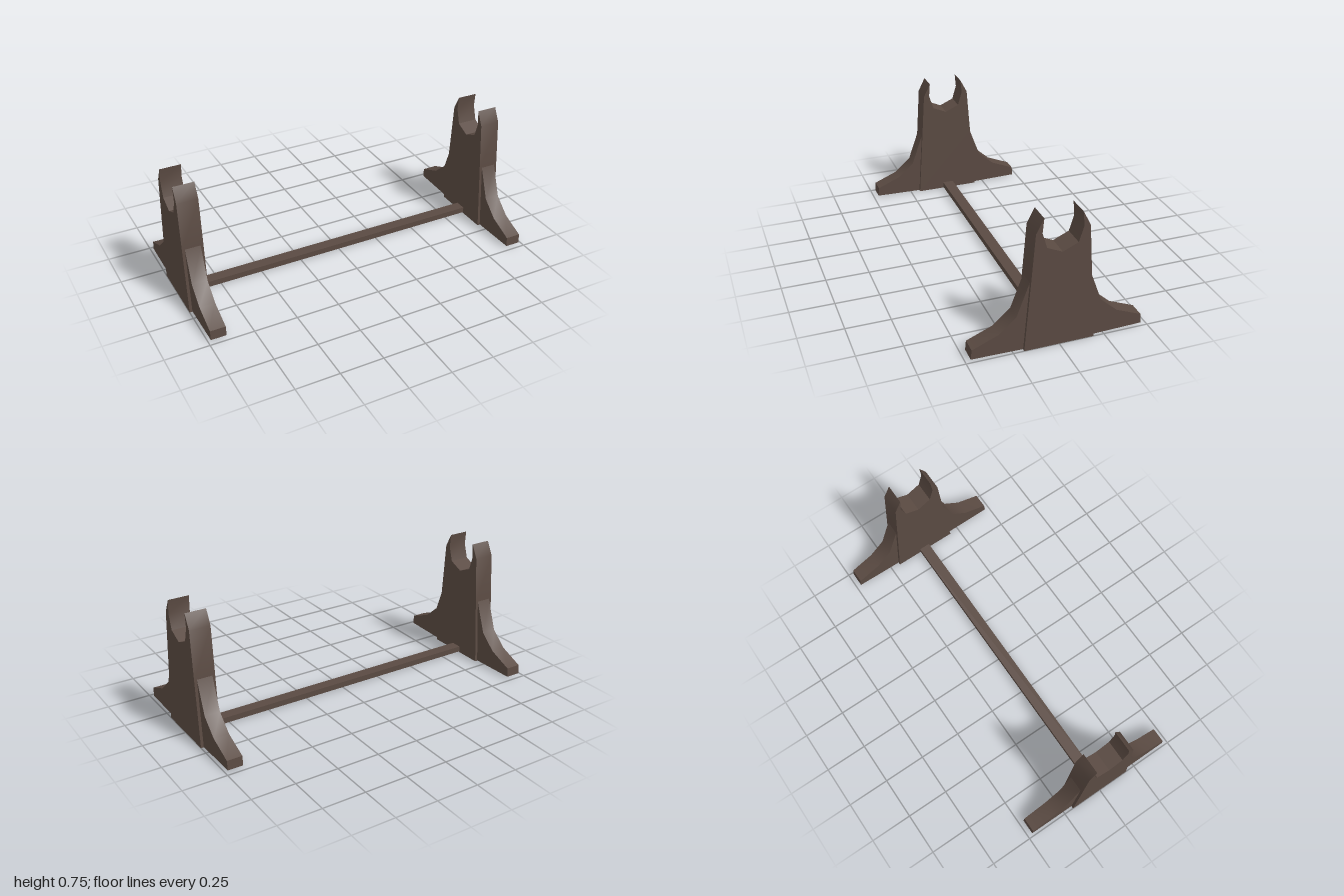
import * as THREE from 'three';
import { toCreasedNormals } from 'three/addons/utils/BufferGeometryUtils.js';

// Extrude a [z, y] outline across x, centred on x = 0, softening shallow bends
function slab(points, width) {
  const shape = new THREE.Shape(points.map(([z, y]) => new THREE.Vector2(z, y)));
  const geo = new THREE.ExtrudeGeometry(shape, { depth: width, bevelEnabled: false });
  geo.translate(0, 0, -width / 2);
  geo.rotateY(-Math.PI / 2);
  return toCreasedNormals(geo, 0.75);
}

const mirror = (points) => points.map(([z, y]) => [-z, y]).reverse();

export function createModel() {
  const model = new THREE.Group();
  model.name = 'cradleStand';
  const wood = new THREE.MeshStandardMaterial({ color: 0x5a4a42 });
  wood.name = 'darkWood';

  const add = (parent, name, geo) => {
    const mesh = new THREE.Mesh(geo, wood);
    mesh.name = name;
    parent.add(mesh);
    return mesh;
  };

  // Half outline of the post, from its base up to the horn and down to the notch
  const half = [[0.192, 0], [0.163, 0.39], [0.143, 0.665], [0.102, 0.745], [0.109, 0.665], [0.083, 0.58]];
  const post = slab([...half, [0, 0.543], ...mirror(half)], 0.12);

  // Stepped foot that flares out from the post
  const footLine = [[0.14, 0.002], [0.192, 0.002], [0.471, 0.008], [0.466, 0.062], [0.325, 0.12],
    [0.23, 0.205], [0.163, 0.39], [0.14, 0.39]];
  const frontFoot = slab(footLine, 0.088);
  const backFoot = slab(mirror(footLine), 0.088);

  // Two matching uprights
  for (const [side, name] of [[1, 'leftUpright'], [-1, 'rightUpright']]) {
    const upright = new THREE.Group();
    upright.name = name;
    upright.position.x = side * 0.94;
    add(upright, 'post', post);
    add(upright, 'frontFoot', frontFoot);
    add(upright, 'backFoot', backFoot);
    model.add(upright);
  }

  // Low bar joining the uprights
  const bar = add(model, 'crossBar', new THREE.BoxGeometry(1.8, 0.034, 0.066));
  bar.position.set(0, 0.022, -0.003);

  return model;
}
